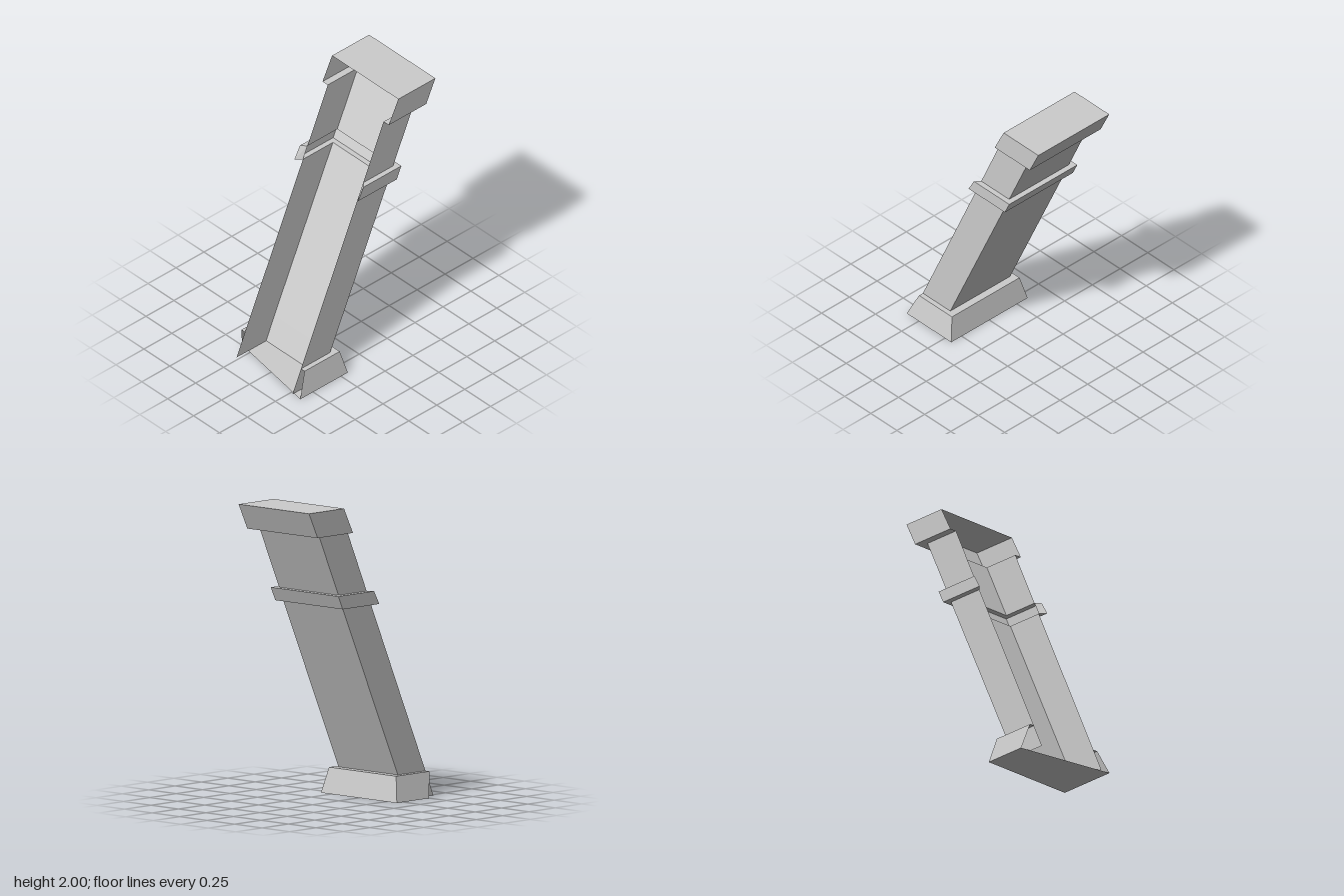
import * as THREE from 'three';

const material = new THREE.MeshStandardMaterial({
  color: 0xcccccc, flatShading: true, side: THREE.DoubleSide,
});

// Mesh from four-cornered faces, corners counter-clockwise from outside
function quadMesh(name, quads) {
  const points = quads.flatMap(([a, b, c, d]) => [a, b, c, a, c, d]);
  const geometry = new THREE.BufferGeometry();
  geometry.setAttribute('position', new THREE.Float32BufferAttribute(points.flat(), 3));
  geometry.computeVertexNormals();
  const mesh = new THREE.Mesh(geometry, material);
  mesh.name = name;
  return mesh;
}

// Cross-section open at the front: left side, back, right side
function section(y, halfWidth, front, back, frontRight = front) {
  return [
    [halfWidth, y, front], [halfWidth, y, back],
    [-halfWidth, y, back], [-halfWidth, y, frontRight],
  ];
}

// Walls joining successive cross-sections, from bottom to top
function walls(sections) {
  const quads = [];
  for (let s = 0; s < sections.length - 1; s++) {
    const a = sections[s], b = sections[s + 1];
    for (let i = 0; i < 3; i++) quads.push([a[i], a[i + 1], b[i + 1], b[i]]);
  }
  return quads;
}

export function createModel() {
  const group = new THREE.Group();
  group.name = 'leaningPillar';

  // Shaft sections where the mouldings meet it
  const foot = section(0, 0.27, 0.615, 0.35);
  const aboveBase = section(0.17, 0.27, 0.54, 0.278);
  const belowCollar = section(1.33, 0.27, 0.022, -0.247);
  const aboveCollar = section(1.42, 0.27, -0.018, -0.285);
  const belowCap = section(1.83, 0.27, -0.2, -0.47);

  group.add(quadMesh('lowerShaft', walls([foot, aboveBase, belowCollar])));
  group.add(quadMesh('upperShaft', walls([aboveCollar, belowCap])));

  // Base: flared walls, ledge around the shaft, and a floor cut at a slant
  const baseBottom = section(0, 0.345, 0.615, 0.19, 0.497);
  const baseTop = section(0.17, 0.305, 0.54, 0.225);
  group.add(quadMesh('base', walls([baseBottom, baseTop, aboveBase])));
  group.add(quadMesh('floor', [[...baseBottom].reverse()]));

  // Collar: projecting band with mitred front ends
  const collarBottom = section(1.33, 0.307, 0.063, -0.283);
  const collarTop = section(1.42, 0.307, 0.014, -0.325);
  const rings = [belowCollar, collarBottom, collarTop, aboveCollar];
  group.add(quadMesh('collar', walls(rings)));
  group.add(quadMesh('collarEnds', [
    rings.map((r) => r[0]),
    rings.map((r) => r[3]).reverse(),
  ]));

  // Cap: ledge, walls and closed top
  const capBottom = section(1.83, 0.32, -0.2, -0.535);
  const capTop = section(2, 0.32, -0.285, -0.617);
  group.add(quadMesh('cap', walls([belowCap, capBottom, capTop])));
  group.add(quadMesh('capTop', [capTop]));

  return group;
}
